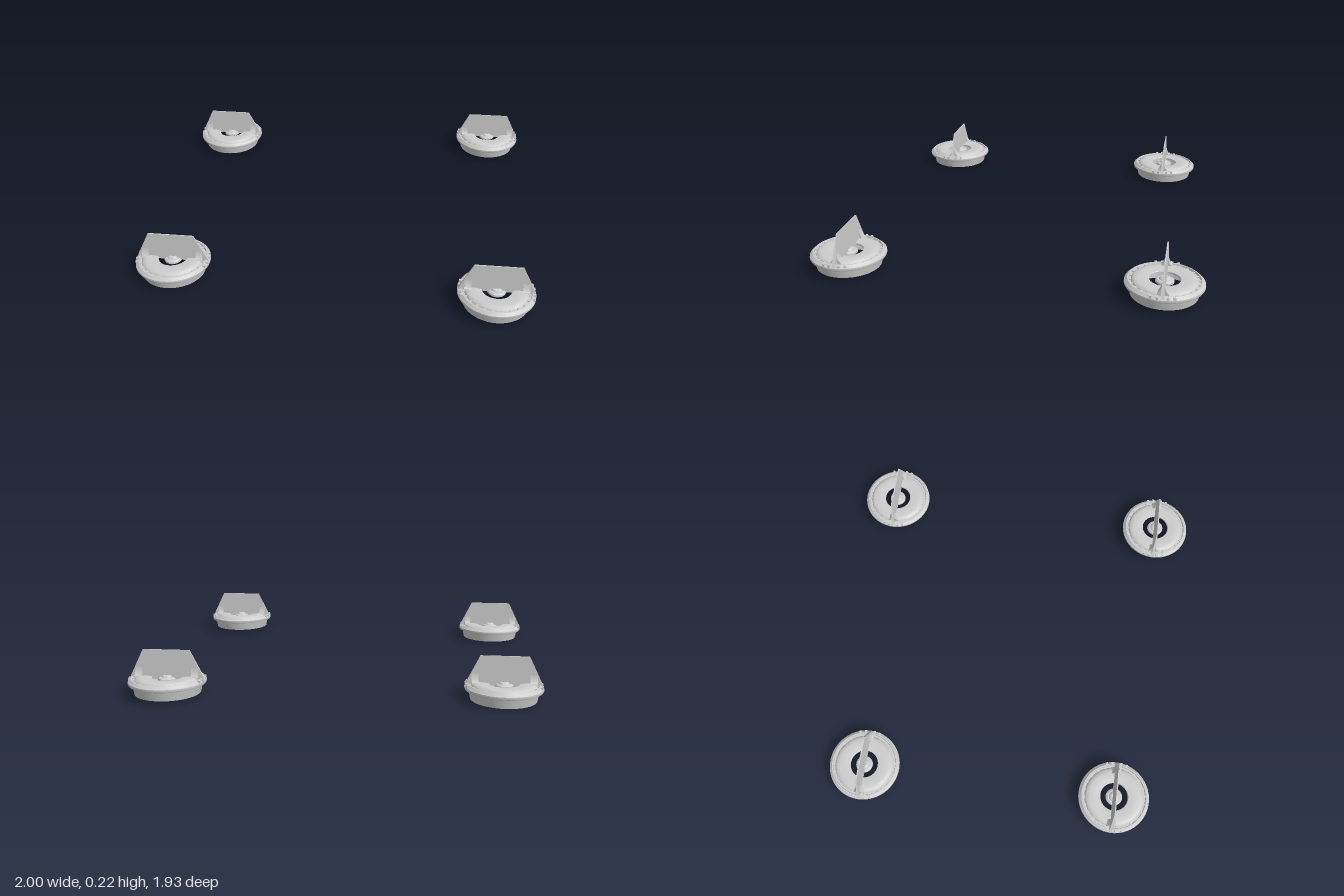
import * as THREE from 'three';
import { toCreasedNormals } from 'three/addons/utils/BufferGeometryUtils.js';

const grey = new THREE.MeshStandardMaterial({ color: 0xcccccc });
grey.name = 'light grey';

function add(parent, name, geometry) {
  const mesh = new THREE.Mesh(geometry, grey);
  mesh.name = name;
  parent.add(mesh);
  return mesh;
}

function lathe(points, segments) {
  const profile = points.map(([r, y]) => new THREE.Vector2(r, y));
  return toCreasedNormals(new THREE.LatheGeometry(profile, segments), 0.6);
}

// Upright tapered blade, wide at the rim and thin at the top
function finGeometry() {
  const g = new THREE.BoxGeometry(2, 1, 2);
  const p = g.attributes.position;
  for (let i = 0; i < p.count; i++) {
    const t = p.getY(i) + 0.5;
    p.setXYZ(i,
      p.getX(i) * THREE.MathUtils.lerp(0.187, 0.116, t),
      THREE.MathUtils.lerp(0.066, 0.212, t),
      p.getZ(i) * THREE.MathUtils.lerp(0.008, 0.003, t));
  }
  g.computeVertexNormals();
  return g;
}

// Flared foot that braces the blade on the dish
function footGeometry() {
  const s = new THREE.Shape();
  s.moveTo(-0.028, 0.07);
  s.lineTo(0.028, 0.07);
  s.lineTo(0.024, 0.082);
  s.quadraticCurveTo(0.009, 0.095, 0.005, 0.13);
  s.lineTo(-0.005, 0.13);
  s.quadraticCurveTo(-0.009, 0.095, -0.024, 0.082);
  s.closePath();
  const g = new THREE.ExtrudeGeometry(s, { depth: 0.034, bevelEnabled: false, curveSegments: 6 });
  g.translate(0, 0, 0.122);
  g.rotateY(Math.PI / 2);
  return g;
}

function createUnit() {
  const unit = new THREE.Group();

  // Open skirt, flange, groove and domed top with a central hole
  add(unit, 'dish', lathe([
    [0.152, 0], [0.160, 0], [0.169, 0.045], [0.186, 0.048], [0.189, 0.054],
    [0.188, 0.063], [0.179, 0.070], [0.174, 0.076], [0.169, 0.076],
    [0.166, 0.066], [0.157, 0.066], [0.154, 0.073], [0.146, 0.079],
    [0.130, 0.082], [0.100, 0.081], [0.076, 0.078], [0.073, 0.075],
    [0.073, 0.068], [0.130, 0.070], [0.148, 0.058], [0.158, 0.046], [0.152, 0],
  ], 64));

  // Hub hanging from the blade in the hole
  add(unit, 'hub', lathe([
    [0.0001, 0.048], [0.018, 0.048], [0.022, 0.054], [0.036, 0.054], [0.045, 0.062],
    [0.044, 0.071], [0.036, 0.077], [0.028, 0.077], [0.024, 0.084], [0.016, 0.088],
    [0.010, 0.085], [0.0001, 0.085],
  ], 32));

  add(unit, 'fin', finGeometry());
  for (const side of [0, Math.PI]) {
    add(unit, 'finFoot', footGeometry()).rotation.y = side;
    // Small clips on the rim beside each end of the blade
    for (const a of [-0.3, -0.13, 0.13, 0.3]) {
      const holder = new THREE.Group();
      holder.name = 'rimClip';
      holder.rotation.y = side + a;
      add(holder, 'clip', new THREE.BoxGeometry(0.016, 0.016, 0.012)).position.set(0.179, 0.068, 0);
      unit.add(holder);
    }
  }

  // Ribs across the groove and teeth around the inside wall
  const count = 24;
  const ribs = new THREE.Group();
  ribs.name = 'ribs';
  for (let i = 0; i < count; i++) {
    const spoke = new THREE.Group();
    spoke.name = 'spoke';
    spoke.rotation.y = ((i + 0.5) / count) * Math.PI * 2;
    add(spoke, 'rib', new THREE.BoxGeometry(0.016, 0.006, 0.012)).position.set(0.162, 0.068, 0);
    add(spoke, 'tooth', new THREE.BoxGeometry(0.014, 0.018, 0.018)).position.set(0.147, 0.046, 0);
    ribs.add(spoke);
  }
  unit.add(ribs);
  return unit;
}

export function createModel() {
  const model = new THREE.Group();
  model.name = 'finnedDishes';
  for (const sz of [-1, 1]) {
    for (const [side, x, y, z] of [['right', -0.811, 0, 0.676], ['left', 0.811, 0.013, 0.777]]) {
      const unit = createUnit();
      unit.name = side + (sz > 0 ? 'Front' : 'Back') + 'Unit';
      unit.position.set(x, y, sz * z);
      model.add(unit);
    }
  }
  return model;
}
